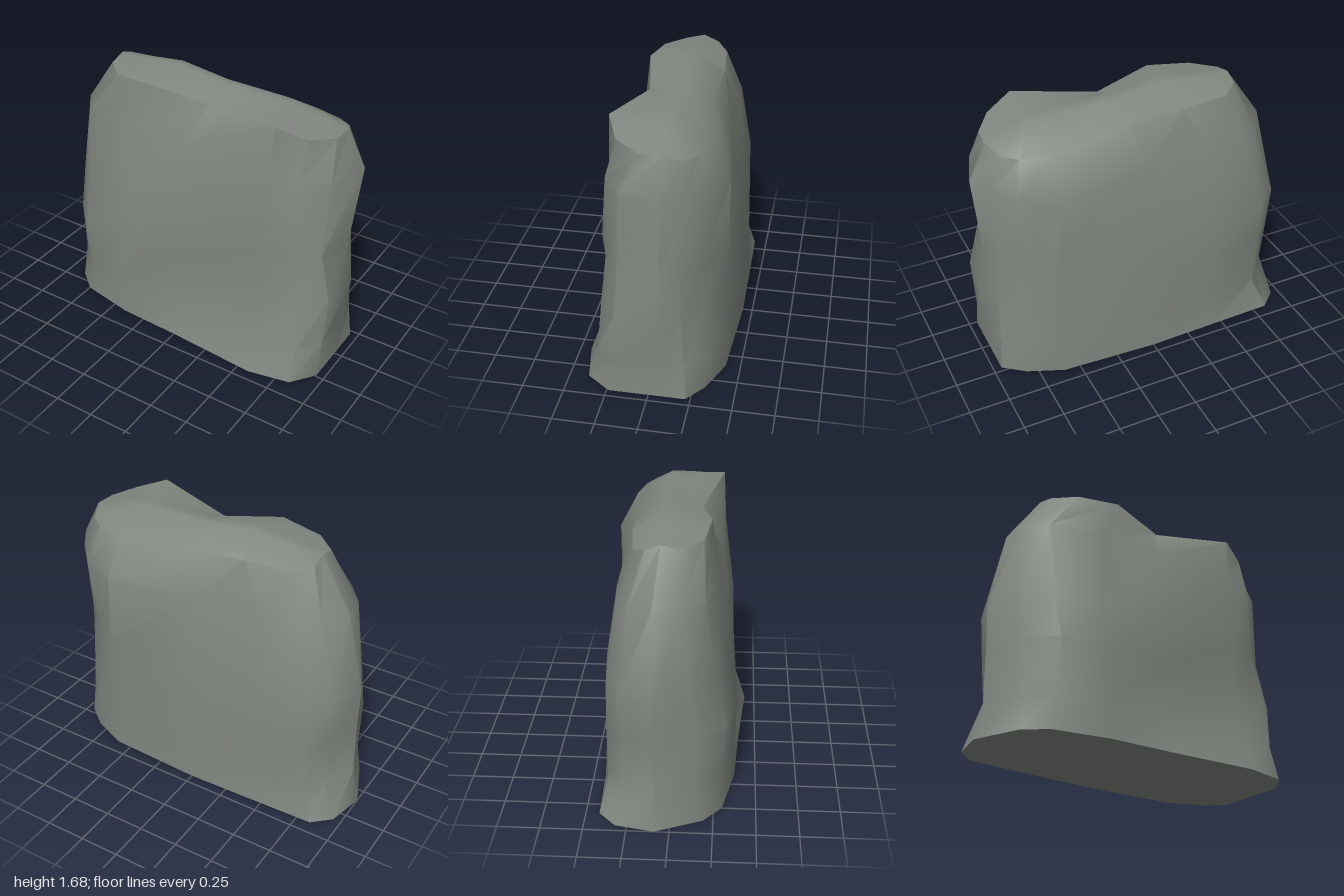
import * as THREE from 'three';
import { toCreasedNormals } from 'three/addons/utils/BufferGeometryUtils.js';

// Outlines of 16 points, running front centre -> +x end -> back -> -x end.
const COUNT = 16;
const foot = [[0, .39], [.58, .435], [.84, .385], [.95, .24], [.95, -.06], [.95, -.22], [.82, -.32], [.6, -.41],
  [0, -.44], [-.42, -.43], [-.84, -.42], [-.95, -.32], [-1, -.09], [-.88, .19], [-.75, .3], [-.4, .37]];
const shoulder = [[0, .28], [.58, .28], [.77, .26], [.92, .155], [1, -.09], [.92, -.21], [.81, -.32], [.59, -.41],
  [0, -.33], [-.42, -.33], [-.66, -.31], [-.76, -.24], [-.86, -.1], [-.84, .05], [-.73, .19], [-.4, .27]];
const rim = [[.11, 1.575, .14], [.61, 1.635, .265], [.78, 1.575, .19], [.88, 1.55, .05],
  [.89, 1.55, -.08], [.84, 1.51, -.19], [.75, 1.5, -.25], [.58, 1.5, -.29],
  [.08, 1.54, -.24], [-.26, 1.57, -.25], [-.56, 1.57, -.22], [-.65, 1.6, -.15],
  [-.655, 1.635, -.06], [-.65, 1.61, .05], [-.52, 1.61, .17], [-.25, 1.635, .21]];

// Wall between foot and shoulder: how far front and back have drawn in, width
// of the -x end, and the dents and swellings as [dx, dz] by outline point.
const levels = [
  { y: .22, front: .5, back: .1, left: .955, dents: {
    0: [0, .015], 5: [-.02, .01], 10: [.05, .04], 11: [.06, .04],
    13: [-.03, .03], 14: [0, .045], 15: [0, .05] } },
  { y: .55, front: .6, back: .15, left: .955, dents: {
    0: [0, -.01], 1: [0, -.04], 2: [0, -.02], 3: [.02, 0], 4: [.04, 0], 5: [-.03, .03], 6: [-.03, .03],
    7: [0, .02], 10: [.04, .03], 11: [.03, .03], 13: [-.04, .05], 14: [0, .09], 15: [0, .065] } },
  { y: .84, front: .75, back: .3, left: .965, dents: {
    0: [0, .035], 1: [0, .02], 2: [-.075, -.02], 3: [-.05, 0], 5: [-.045, .03], 6: [-.04, .03],
    10: [.04, .02], 11: [.02, .01], 13: [-.02, .03], 14: [0, .04], 15: [0, .01] } },
];

function wallRing({ y, front, back, left, dents }) {
  return foot.map(([x, z], i) => {
    const [dx, dz] = dents[i] ?? [0, 0];
    const depth = THREE.MathUtils.lerp(z, shoulder[i][1], z > 0 ? front : back);
    return [(x < 0 ? x * left : x) + dx, y, depth + dz];
  });
}

// Narrow ridge on top, with a low peak and a fall towards the +x end.
function ridgeRing() {
  return rim.map(([rimX, , z]) => {
    const x = rimX * .85;
    const peak = .045 * Math.max(0, 1 - Math.abs(x + .23) / .36);
    return [x, 1.635 + peak - .3 * Math.max(0, x - .6), -.06 + (z + .06) * .12];
  });
}

// Skins neighbouring rings, then closes the underside and the ridge.
function loft(rings) {
  const index = [];
  for (let r = 0; r < rings.length - 1; r++) {
    for (let i = 0; i < COUNT; i++) {
      const a = r * COUNT + i, b = r * COUNT + (i + 1) % COUNT;
      index.push(a, b, b + COUNT, a, b + COUNT, a + COUNT);
    }
  }
  for (let i = 1; i < COUNT - 1; i++) index.push(0, i + 1, i);
  const top = (rings.length - 1) * COUNT;
  const onTop = (i) => top + (i + COUNT) % COUNT;
  for (let k = 0; k < COUNT / 2; k++) {
    const a = onTop(4 - k), b = onTop(3 - k), c = onTop(4 + k), d = onTop(5 + k);
    if (a !== c) index.push(a, c, b);
    if (b !== d) index.push(c, d, b);
  }
  const geometry = new THREE.BufferGeometry();
  geometry.setAttribute('position', new THREE.Float32BufferAttribute(rings.flat(2), 3));
  geometry.setIndex(index);
  return toCreasedNormals(geometry, .68);
}

export function createModel() {
  const stone = new THREE.MeshStandardMaterial({ color: 0x80877f });
  stone.name = 'greyStone';

  const rings = [
    foot.map(([x, z]) => [x, 0, z]),
    ...levels.map(wallRing),
    // the shoulder sits lower at the back
    shoulder.map(([x, z]) => [x, 1.33 + .2 * Math.min(0, z + .1), z]),
    rim,
    ridgeRing(),
  ];
  const slab = new THREE.Mesh(loft(rings), stone);
  slab.name = 'stoneSlab';

  const model = new THREE.Group();
  model.name = 'standingStone';
  model.add(slab);
  return model;
}
